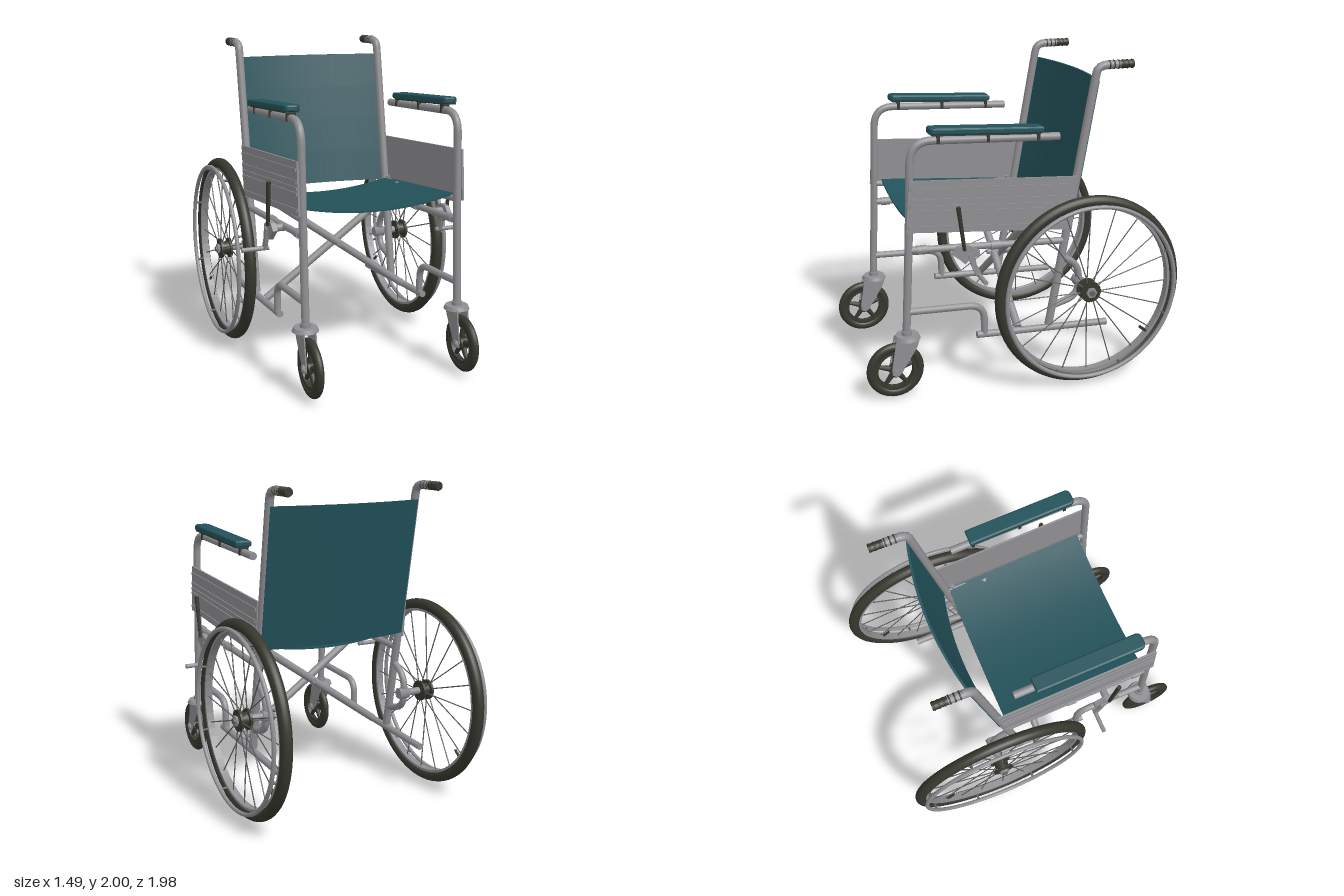
import * as THREE from 'three';

const material = (name, color) => {
  const m = new THREE.MeshStandardMaterial({ color });
  m.name = name;
  return m;
};
const V = (x, y, z) => new THREE.Vector3(x, y, z);
const lerp = THREE.MathUtils.lerp;

export function createModel() {
  const model = new THREE.Group();
  model.name = 'wheelchair';
  const steel = material('steel', 0x8f8f93);
  const fabric = material('teal fabric', 0x22525a);
  const rubber = material('rubber', 0x37372f);
  const wire = material('spoke wire', 0x606062);

  const add = (parent, name, geo, mat) => {
    const m = new THREE.Mesh(geo, mat);
    m.name = name;
    parent.add(m);
    return m;
  };
  const group = (parent, name) => {
    const g = new THREE.Group();
    g.name = name;
    parent.add(g);
    return g;
  };

  // Straight round bar between two points
  const rod = (parent, name, a, b, r, mat = steel, sides = 16, r2 = r) => {
    const m = add(parent, name, new THREE.CylinderGeometry(r2, r, a.distanceTo(b), sides), mat);
    m.position.copy(a).add(b).multiplyScalar(0.5);
    m.quaternion.setFromUnitVectors(V(0, 1, 0), b.clone().sub(a).normalize());
    return m;
  };

  // Bent tube: straight runs with rounded corners and closed ends
  const bentTube = (parent, name, pts, bend, r, mat = steel) => {
    const path = new THREE.CurvePath();
    let from = pts[0];
    for (let i = 1; i < pts.length - 1; i++) {
      const p = pts[i];
      const toward = (q) => p.clone().add(q.clone().sub(p).setLength(Math.min(bend, p.distanceTo(q) * 0.48)));
      const a = toward(pts[i - 1]), b = toward(pts[i + 1]);
      path.add(new THREE.LineCurve3(from, a));
      path.add(new THREE.QuadraticBezierCurve3(a, p, b));
      from = b;
    }
    const end = pts[pts.length - 1];
    path.add(new THREE.LineCurve3(from, end));
    add(parent, name, new THREE.TubeGeometry(path, 70, r, 14), mat);
    for (const [p, q] of [[pts[0], pts[1]], [end, pts[pts.length - 2]]])
      rod(parent, name + 'End', p, p.clone().add(q.clone().sub(p).setLength(0.01)), r, mat);
  };

  // Flat plate drawn in (z, y), with thickness d centred on x
  const plate = (parent, name, pts, d, x, mat = steel) => {
    const shape = new THREE.Shape(pts.map(([z, y]) => new THREE.Vector2(z, y)));
    const geo = new THREE.ExtrudeGeometry(shape, { depth: d, bevelEnabled: false });
    geo.translate(0, 0, -d / 2).rotateY(-Math.PI / 2).translate(x, 0, 0);
    return add(parent, name, geo, mat);
  };

  // Ring around the x axis with a rectangular section
  const ring = (inner, outer, w) => new THREE.LatheGeometry(
    [[inner, -w], [outer, -w], [outer, w], [inner, w], [inner, -w]].map(([a, b]) => new THREE.Vector2(a, b)), 64
  ).toNonIndexed().rotateZ(Math.PI / 2);
  const hoop = (R, r, sides = 16, around = 72) => new THREE.TorusGeometry(R, r, sides, around).rotateY(Math.PI / 2);
  const around = (R, a, x = 0) => V(x, R * Math.cos(a), R * Math.sin(a));

  // Sagging cloth: a thin box whose vertices follow a rule
  const cloth = (name, rule) => {
    const geo = new THREE.BoxGeometry(1, 1, 1, 24, 1, 4);
    const p = geo.attributes.position;
    for (let i = 0; i < p.count; i++) {
      const u = p.getX(i) * 2;
      p.setXYZ(i, ...rule(u, p.getY(i), p.getZ(i) + 0.5, 1 - u * u));
    }
    geo.computeVertexNormals();
    add(model, name, geo, fabric);
  };
  cloth('seat', (u, t, v, sag) => [u * 0.5, lerp(1.025, 1.1, v) - 0.06 * sag + t * 0.012, lerp(-0.27, 0.66, v)]);
  cloth('backrest', (u, t, v, sag) => [u * 0.505, lerp(1.88, 1.01, v), lerp(-0.465, -0.315, v) - 0.065 * sag + t * 0.014]);

  // Folding cross brace
  rod(model, 'crossBrace', V(-0.48, 1.03, 0.025), V(0.48, 0.345, 0.025), 0.025);
  rod(model, 'crossBrace', V(0.48, 1.03, -0.03), V(-0.48, 0.345, -0.03), 0.025);
  rod(model, 'bracePivot', V(0, 0.685, 0.07), V(0, 0.685, -0.07), 0.016);

  for (const s of [1, -1]) {
    const P = (x, y, z) => V(s * x, y, z);
    const side = group(model, s > 0 ? 'leftSide' : 'rightSide');

    // Frame tubes
    const frame = group(side, 'frame');
    bentTube(frame, 'frontPostAndArm', [P(0.5, 0.41, 0.745), P(0.5, 1.08, 0.71), P(0.5, 1.605, 0.69), P(0.5, 1.565, -0.22)], 0.13, 0.024);
    bentTube(frame, 'backPost', [P(0.5, 0.345, -0.175), P(0.5, 1, -0.29), P(0.5, 1.88, -0.442), P(0.5, 1.974, -0.46), P(0.5, 1.974, -0.6)], 0.09, 0.026);
    bentTube(frame, 'lowerTube', [P(0.5, 0.56, 0.725), P(0.5, 0.54, 0.255), P(0.5, 0.345, 0.25)], 0.1, 0.022);
    rod(frame, 'bottomRail', P(0.5, 0.345, 0.3), P(0.5, 0.305, -0.575), 0.022);
    rod(frame, 'middleRail', P(0.5, 0.95, 0.71), P(0.5, 0.9, -0.28), 0.021);
    rod(frame, 'seatRail', P(0.495, 1.08, 0.7), P(0.495, 1.01, -0.28), 0.02);
    for (const z of [0.64, 0.18])
      rod(frame, 'railCollar', P(0.5, 0.914 + z * 0.0505, z + 0.03), P(0.5, 0.914 + z * 0.0505, z - 0.03), 0.027);
    bentTube(frame, 'axleLoop', [P(0.5, 0.8, -0.25), P(0.5, 0.72, -0.375), P(0.5, 0.52, -0.375), P(0.5, 0.47, -0.2)], 0.09, 0.022);
    rod(frame, 'axle', P(0.51, 0.615, -0.375), P(0.64, 0.615, -0.375), 0.023);
    rod(frame, 'axleNut', P(0.455, 0.615, -0.375), P(0.53, 0.615, -0.375), 0.037, steel, 6);
    rod(frame, 'seatBolt', P(0.5, 1.02, -0.245), P(0.5, 1.045, -0.245), 0.014);

    // Push handle grip with ridges
    rod(side, 'grip', P(0.5, 1.974, -0.515), P(0.5, 1.974, -0.69), 0.025, rubber);
    for (let i = 0; i < 6; i++)
      add(side, 'gripRidge', new THREE.TorusGeometry(0.022, 0.006, 8, 20), rubber).position.copy(P(0.5, 1.974, -0.53 - i * 0.03));

    // Skirt panel with pressed ribs
    plate(side, 'skirtPanel', [[0.71, 1.38], [-0.335, 1.315], [-0.305, 0.98], [0.735, 1.07]], 0.012, s * 0.528);
    for (const v of [0.16, 0.38, 0.5, 0.6, 0.9]) {
      const front = [lerp(0.7, 0.725, v), lerp(1.38, 1.07, v)], back = [lerp(-0.325, -0.295, v), lerp(1.315, 0.98, v)];
      plate(side, 'skirtRib', [[front[0], front[1] + 0.01], [back[0], back[1] + 0.01], [back[0], back[1] - 0.01], [front[0], front[1] - 0.01]], 0.008, s * 0.536);
    }

    // Armrest pad on three clips
    const outline = new THREE.Shape();
    outline.moveTo(-0.04, 0.335).lineTo(-0.04, -0.31);
    outline.quadraticCurveTo(-0.04, -0.335, -0.015, -0.335).lineTo(0.015, -0.335);
    outline.quadraticCurveTo(0.04, -0.335, 0.04, -0.31).lineTo(0.04, 0.335);
    const padGeo = new THREE.ExtrudeGeometry(outline, { depth: 0.018, bevelSize: 0.011, bevelThickness: 0.011, bevelSegments: 3 });
    padGeo.rotateX(-Math.PI / 2);
    const pad = add(side, 'armrestPad', padGeo, fabric);
    pad.position.copy(P(0.508, 1.634, 0.245));
    pad.rotation.x = -0.055;
    const base = add(side, 'padBase', new THREE.BoxGeometry(0.086, 0.008, 0.66), rubber);
    base.position.copy(P(0.508, 1.621, 0.245));
    base.rotation.x = -0.055;
    for (const z of [0.53, 0.23, -0.08])
      add(side, 'armrestClip', new THREE.BoxGeometry(0.058, 0.06, 0.018), rubber).position.copy(P(0.5, 1.588 + z * 0.045, z));

    // Large rear wheel
    const wheel = group(side, 'rearWheel');
    wheel.position.copy(P(0.655, 0.613, -0.375));
    add(wheel, 'tyre', hoop(0.574, 0.036), rubber);
    add(wheel, 'rim', ring(0.532, 0.556, 0.024), steel).geometry.computeVertexNormals();
    add(wheel, 'handRim', hoop(0.555, 0.013, 12), steel).position.x = s * 0.067;
    for (let i = 0; i < 8; i++) {
      const a = (i + 0.5) * Math.PI / 4;
      rod(wheel, 'handRimPeg', around(0.543, a, 0), around(0.553, a, s * 0.067), 0.008, wire, 8);
    }
    for (let i = 0; i < 20; i++) {
      const a = i * Math.PI / 10;
      rod(wheel, 'spoke', around(0.05, a, i % 2 ? 0.028 : -0.028), around(0.54, a), 0.0038, wire, 6);
    }
    rod(wheel, 'hub', V(-0.04, 0, 0), V(0.04, 0, 0), 0.045, rubber, 28);
    for (const x of [-0.03, 0.03])
      rod(wheel, 'hubFlange', V(x - 0.008, 0, 0), V(x + 0.008, 0, 0), 0.066, rubber, 32);
    rod(wheel, 'hubNut', V(s * 0.035, 0, 0), V(s * 0.055, 0, 0), 0.034, steel, 6);
    rod(wheel, 'hubBolt', V(s * 0.05, 0, 0), V(s * 0.066, 0, 0), 0.018, wire, 12);
    rod(wheel, 'valve', V(0, -0.345, -0.42), V(0, -0.302, -0.365), 0.009, rubber, 10);

    // Front caster wheel
    const caster = group(side, 'casterWheel');
    caster.position.copy(P(0.5, 0.192, 0.82));
    const tyre = add(caster, 'casterTyre', hoop(0.148, 0.029, 14, 48), rubber);
    tyre.scale.x = 0.85;
    add(caster, 'casterRim', ring(0.108, 0.14, 0.018), rubber).geometry.computeVertexNormals();
    rod(caster, 'casterHub', V(-0.026, 0, 0), V(0.026, 0, 0), 0.04, rubber, 24);
    for (let i = 0; i < 5; i++)
      rod(caster, 'casterSpoke', around(0.02, i * Math.PI * 0.4), around(0.118, i * Math.PI * 0.4), 0.019, rubber, 10, 0.012);
    rod(caster, 'casterAxle', V(-0.055, 0, 0), V(0.055, 0, 0), 0.013, steel, 12);
    for (const x of [-0.046, 0.046])
      rod(caster, 'casterNut', V(x - 0.006, 0, 0), V(x + 0.006, 0, 0), 0.024, steel, 6);

    // Caster fork
    const fork = group(side, 'casterFork');
    rod(fork, 'forkPlate', P(0.5, 0.392, 0.74), P(0.5, 0.416, 0.74), 0.08, steel, 32, 0.07);
    rod(fork, 'forkStem', P(0.5, 0.41, 0.743), P(0.5, 0.44, 0.743), 0.032);
    for (const x of [-0.036, 0.036])
      plate(fork, 'forkLeg', [[0.815, 0.4], [0.67, 0.4], [0.69, 0.34], [0.795, 0.172], [0.82, 0.163], [0.845, 0.175], [0.847, 0.21]], 0.008, s * 0.5 + x);

    // Parking brake: clamp, lever and tyre bar
    const brake = group(side, 'brake');
    rod(brake, 'brakeMount', P(0.5, 0.93, 0.4), P(0.6, 0.93, 0.4), 0.024);
    plate(brake, 'brakeBracket', [[0.48, 0.93], [0.44, 0.97], [0.38, 0.975], [0.31, 0.935], [0.31, 0.9], [0.36, 0.9], [0.4, 0.86], [0.43, 0.89]], 0.03, s * 0.585);
    plate(brake, 'brakeArm', [[0.385, 0.92], [0.345, 0.93], [0.335, 0.86], [0.305, 0.8], [0.315, 0.775], [0.335, 0.78], [0.365, 0.85]], 0.022, s * 0.6);
    rod(brake, 'brakeBar', P(0.575, 0.788, 0.32), P(0.745, 0.788, 0.32), 0.014);
    rod(brake, 'brakeLever', P(0.605, 0.95, 0.405), P(0.61, 1.22, 0.442), 0.011, rubber, 12, 0.014);
  }
  return model;
}
